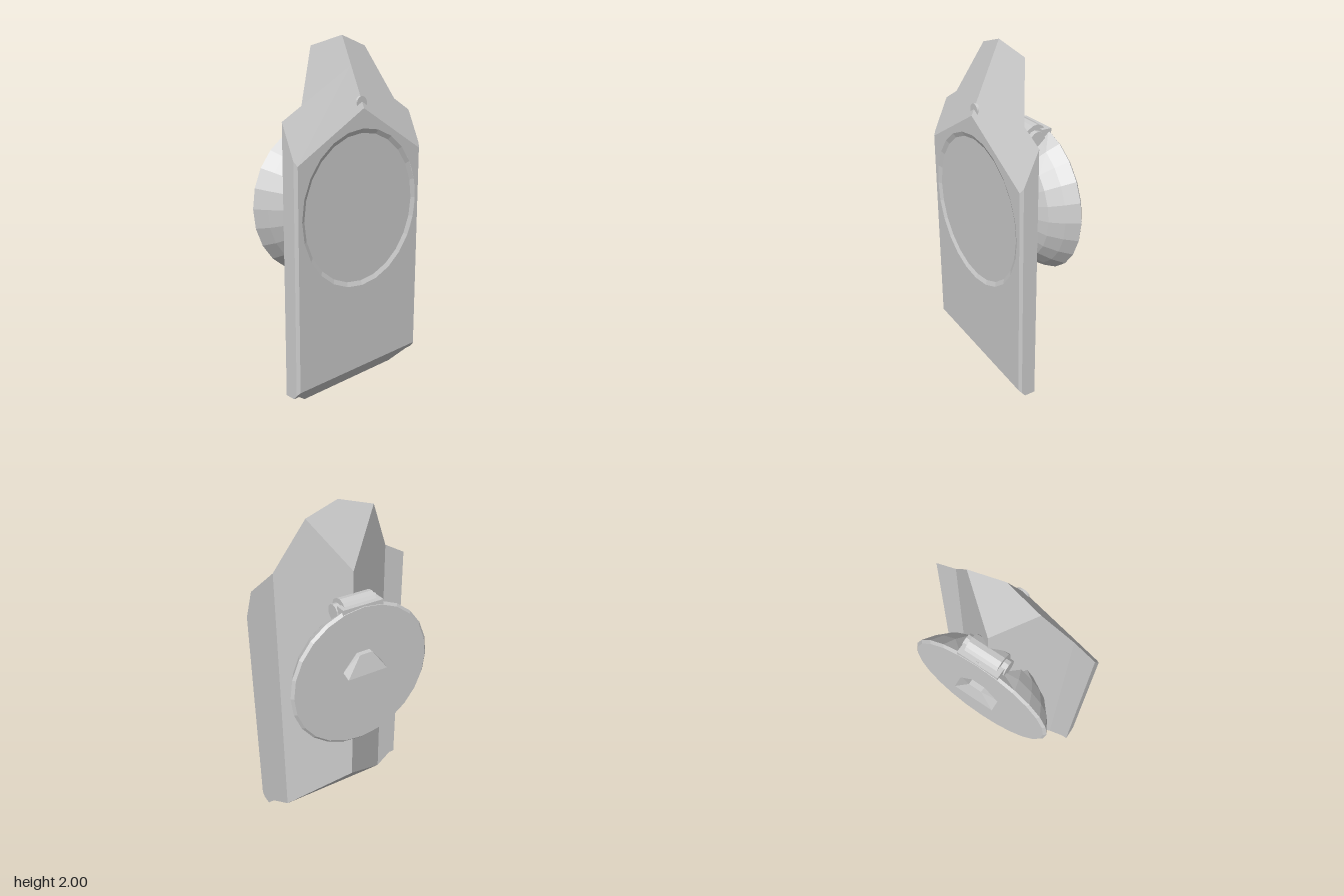
import * as THREE from 'three';
import { ConvexGeometry } from 'three/addons/geometries/ConvexGeometry.js';

const mat = new THREE.MeshStandardMaterial({ color: 0xcccccc, flatShading: true, side: THREE.DoubleSide });

// Convex solid bounded by half-spaces a*x + b*y + c*z <= d
function solid(planes) {
  const pts = [];
  const n = planes.map(p => new THREE.Vector3(p[0], p[1], p[2]));
  for (let i = 0; i < planes.length; i++)
    for (let j = i + 1; j < planes.length; j++)
      for (let k = j + 1; k < planes.length; k++) {
        const jk = n[j].clone().cross(n[k]);
        const det = n[i].dot(jk);
        if (Math.abs(det) < 1e-6) continue;
        const p = jk.multiplyScalar(planes[i][3])
          .addScaledVector(n[k].clone().cross(n[i]), planes[j][3])
          .addScaledVector(n[i].clone().cross(n[j]), planes[k][3])
          .divideScalar(det);
        if (planes.every((q, m) => n[m].dot(p) <= q[3] + 1e-6) &&
            pts.every(q => q.distanceTo(p) > 1e-3)) pts.push(p);
      }
  return new ConvexGeometry(pts);
}

// A half-space together with its mirror image across x = 0
const both = (a, b, c, d) => [[a, b, c, d], [-a, b, c, d]];

// Remove the flat front so a recessed panel can take its place
function openFront(geo, z) {
  const src = geo.attributes.position.array, keep = [];
  for (let i = 0; i < src.length; i += 9)
    if (Math.min(src[i + 2], src[i + 5], src[i + 8]) < z) keep.push(...src.slice(i, i + 9));
  const out = new THREE.BufferGeometry();
  out.setAttribute('position', new THREE.Float32BufferAttribute(keep, 3));
  out.computeVertexNormals();
  return out;
}

export function createModel() {
  const model = new THREE.Group();
  const add = (name, geo, x = 0, y = 0, z = 0) => {
    const mesh = new THREE.Mesh(geo, mat);
    mesh.name = name;
    mesh.position.set(x, y, z);
    model.add(mesh);
    return mesh;
  };

  // Cutting planes shared by the body parts
  const topFront = both(0.553, 1, 2.235, 2.156);
  const topBack = [0, 1, -2.19, 1.847];
  const bottomFront = [0, -1, 1.2, 0.168];
  const bottomBack = [0, -1, -1.2, -0.168];
  const slab = [[0, 0, 1, 0.24], [0, 0, -1, -0.14], ...both(1, 0, 0, 0.485), ...both(1, 0, 1, 0.71), bottomFront];

  // Body: ridged back, front slab and its chamfered foot
  add('ridgedBack', solid([...both(0.634, 0, -1, 0.085), [0, 0, 1, 0.14], ...topFront, topBack, bottomBack]));
  add('frontSlab', openFront(solid([...slab, ...topFront, [0, -1, 0, -0.075]]), 0.239));
  add('foot', solid([...slab, [0, 1, 0, 0.12], ...both(0.789, -1, 0, 0.28)]));

  // Front panel with a shallow round recess
  const cy = 1.067;
  const panel = new THREE.Shape([[-0.47, 0.12], [0.47, 0.12], [0.47, 1.36], [0, 1.62], [-0.47, 1.36]]
    .map(p => new THREE.Vector2(...p)));
  const hole = new THREE.Path();
  hole.absarc(0, cy, 0.445, 0, Math.PI * 2, true);
  panel.holes.push(hole);
  add('frontPanel', new THREE.ShapeGeometry(panel, 24), 0, 0, 0.24);
  add('recessWall', new THREE.CylinderGeometry(0.445, 0.42, 0.012, 24, 1, true).rotateX(Math.PI / 2), 0, cy, 0.234);
  add('recessFloor', new THREE.CircleGeometry(0.42, 24), 0, cy, 0.228);

  // Small arched tab at the peak of the panel
  const tab = new THREE.Shape();
  tab.moveTo(-0.038, 1.605);
  tab.lineTo(0.038, 1.605);
  tab.lineTo(0.038, 1.645);
  tab.absarc(0, 1.645, 0.038, 0, Math.PI, false);
  add('peakTab', new THREE.ExtrudeGeometry(tab, { depth: 0.04, bevelEnabled: false, curveSegments: 6 }), 0, 0, 0.185);

  // Domed rear disc with a cleft in its upper front
  const profile = [[0, -0.186], [0.43, -0.186], [0.445, -0.172], [0.4, -0.1], [0.34, -0.03],
    [0.25, 0.025], [0.15, 0.045], [0, 0.045]].map(p => new THREE.Vector2(...p));
  const dome = new THREE.LatheGeometry(profile, 24).rotateX(Math.PI / 2);
  const pos = dome.attributes.position;
  for (let i = 0; i < pos.count; i++)
    if (pos.getY(i) > 0.1 && Math.abs(pos.getX(i)) < 0.13) pos.setZ(i, Math.min(pos.getZ(i), -0.12));
  dome.computeVertexNormals();
  add('rearDisc', dome, 0, cy, 0);

  // Hinge collar on top of the disc, extruded across x from its side profile
  const collar = new THREE.Shape([[0.18, 1.38], [0.18, 1.485], [0.14, 1.525], [0.11, 1.537], [0.08, 1.532],
    [0.045, 1.51], [0.03, 1.475], [0.03, 1.42], [0.06, 1.38]].map(p => new THREE.Vector2(...p)));
  add('hingeCollar', new THREE.ExtrudeGeometry(collar, { depth: 0.2, bevelEnabled: false })
    .translate(0, 0, -0.1).rotateY(Math.PI / 2).rotateY(0).applyMatrix4(new THREE.Matrix4().makeTranslation(0, 0, 0)));
  for (const s of [-1, 1])
    add('hingeWasher', new THREE.CylinderGeometry(0.047, 0.047, 0.035, 12).rotateZ(Math.PI / 2), s * 0.115, 1.46, -0.092);
  add('collarBase', new THREE.BoxGeometry(0.25, 0.12, 0.06), 0, 1.45, -0.154);

  // Tapered hook on the back of the disc
  const hook = [];
  for (const s of [-1, 1])
    hook.push(new THREE.Vector3(s * 0.125, 1.13, -0.18), new THREE.Vector3(s * 0.125, 1.11, -0.24),
      new THREE.Vector3(s * 0.04, 1.23, -0.18), new THREE.Vector3(s * 0.04, 1.23, -0.217));
  add('rearHook', new ConvexGeometry(hook));

  return model;
}
